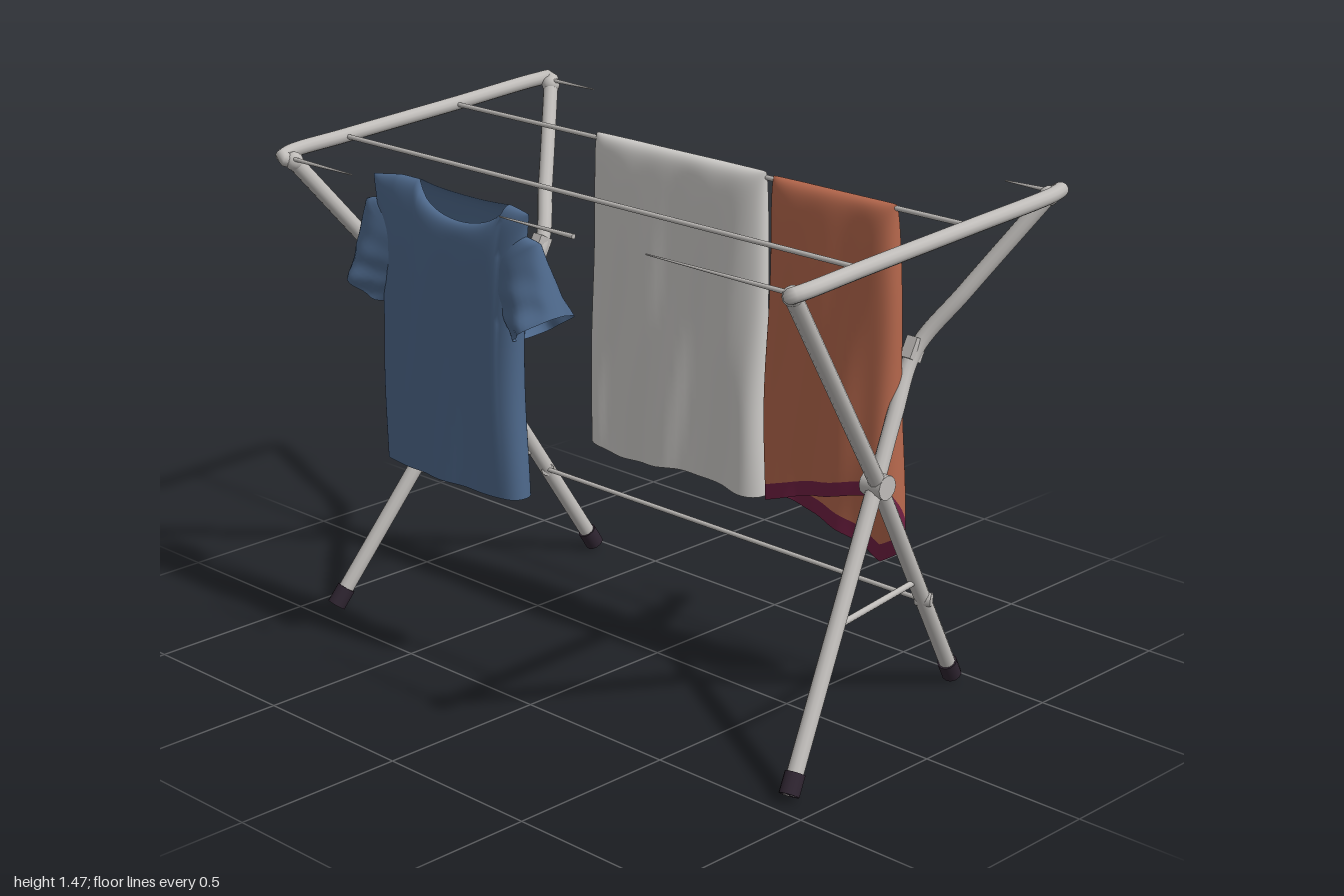
import * as THREE from 'three';
import { ParametricGeometry } from 'three/addons/geometries/ParametricGeometry.js';

const mat = (name, color, side = THREE.FrontSide) => {
  const m = new THREE.MeshStandardMaterial({ color, side });
  m.name = name;
  return m;
};
const V = (x, y, z) => new THREE.Vector3(x, y, z);
const lerp = THREE.MathUtils.lerp;

export function createModel() {
  const root = new THREE.Group();
  root.name = 'dryingRack';
  const metal = mat('paintedMetal', 0xbfbcb9, THREE.DoubleSide);
  const rubber = mat('darkRubber', 0x2e2430);
  const blue = mat('blueCotton', 0x4e698c, THREE.DoubleSide);
  const white = mat('whiteTowelling', 0xcfcdca, THREE.DoubleSide);
  const orange = mat('terracottaTowelling', 0xb5674c, THREE.DoubleSide);
  const maroon = mat('maroonTrim', 0x701f42, THREE.DoubleSide);

  const add = (name, geo, material, parent = root) => {
    const m = new THREE.Mesh(geo, material);
    m.name = name;
    parent.add(m);
    return m;
  };
  // Straight round bar between two points, optionally tapered
  const bar = (name, a, b, r0, r1, material, parent) => {
    const d = b.clone().sub(a);
    const m = add(name, new THREE.CylinderGeometry(r1, r0, d.length(), 12), material, parent);
    m.position.copy(a).addScaledVector(d, 0.5);
    m.quaternion.setFromUnitVectors(V(0, 1, 0), d.normalize());
    return m;
  };
  const pipe = (name, pts, r, parent) =>
    add(name, new THREE.TubeGeometry(new THREE.CatmullRomCurve3(pts), pts.length * 10, r, 12), metal, parent);

  // Side frames: crossed legs, top rail, pivot, brace
  for (const s of [1, -1]) {
    const side = new THREE.Group();
    side.name = s > 0 ? 'leftFrame' : 'rightFrame';
    root.add(side);
    const P = (x, y, z) => V(s * x, y, z);
    const railEnds = [P(0.945, 1.375, 0.5), P(0.945, 1.435, -0.5)];
    pipe('topRail', [railEnds[0], P(0.965, 1.385, 0.525), P(0.98, 1.393, 0.49), P(0.98, 1.406, 0.285),
      P(0.98, 1.43, -0.14), P(0.98, 1.45, -0.47), P(0.967, 1.453, -0.52), railEnds[1]], 0.021, side);
    for (const p of railEnds) {
      const k = add('railElbow', new THREE.SphereGeometry(0.027, 14, 10), metal, side);
      k.position.copy(p);
    }
    const footA = P(0.718, 0.017, -0.45), pivotA = P(0.785, 0.71, -0.03);
    const footB = P(0.905, 0.017, 0.44), pivotB = P(0.775, 0.71, -0.03);
    bar('frontLegLower', footA, pivotA, 0.023, 0.023, metal, side);
    bar('frontLegUpper', pivotA, railEnds[0], 0.023, 0.023, metal, side);
    bar('rearLegLower', footB, pivotB, 0.023, 0.023, metal, side);
    pipe('rearLegUpper', [pivotB, P(0.745, 0.87, -0.135), P(0.722, 1.02, -0.24), P(0.805, 1.18, -0.34),
      railEnds[1]], 0.022, side);
    for (const [f, p] of [[footA, pivotA], [footB, pivotB]])
      bar('footCap', f, f.clone().lerp(p, 0.07), 0.028, 0.028, rubber, side);
    bar('pivot', P(0.745, 0.71, -0.03), P(0.815, 0.71, -0.03), 0.034, 0.034, metal, side);
    const clip = add('legClip', new THREE.BoxGeometry(0.035, 0.06, 0.05), metal, side);
    clip.position.set(s * 0.722, 1.025, -0.235);
    clip.rotation.x = -0.5;
    bar('brace', P(0.835, 0.39, 0.17), P(0.755, 0.37, -0.22), 0.009, 0.009, metal, side);
    bar('rodSocket', P(0.73, 0.305, -0.265), P(0.77, 0.305, -0.285), 0.02, 0.02, metal, side);
  }

  // Full hanging rods and the lower spreader
  for (const [n, x, y, z] of [['hangingRod', 0.98, 1.406, 0.285], ['hangingRod', 0.98, 1.43, -0.14],
    ['lowerRod', 0.75, 0.305, -0.268]])
    bar(n, V(-x, y, z), V(x, y, z), 0.007, 0.007, metal);
  // Short tapered rod pieces on the outer edges
  for (const [a, b, y, z] of [[-0.97, -0.68, 1.385, 0.51], [0.2, -0.08, 1.38, 0.51], [0.96, 0.46, 1.385, 0.51],
    [-0.97, -0.76, 1.45, -0.5], [0.97, 0.8, 1.45, -0.5]])
    bar('rodPiece', V(a, y, z), V(b, y, z), 0.007, 0.002, metal);

  // Hanging cloth: a flattened sleeve, front half for u < 0.5, back half after
  const clothPoint = (o, u, v, out) => {
    const w = Math.cos(2 * Math.PI * u);
    const face = (u < 0.5 ? 1 : -1) * Math.sqrt(Math.max(0, 1 - w ** 8));
    const t = v * v;
    const x = o.mid + o.half(t) * w;
    const y = lerp(o.top(x, face), o.bottom(x, face), t);
    const ripple = o.fold * v * (Math.sin(19 * x + 3 * y + face) + 0.6 * Math.sin(41 * x - 7 * y + 2 * face));
    return out.set(x + 0.006 * v * Math.sin(9 * y + 3 * w), y, o.z(t) + o.depth(x, v) * face + ripple * Math.abs(face));
  };
  const cloth = (name, o, material, v0 = 0, v1 = 1, offset = 0) =>
    add(name, new ParametricGeometry((u, v, out) => {
      clothPoint(o, u, lerp(v0, v1, v), out);
      out.z += offset * (u < 0.5 ? 1 : -1);
    }, 96, v1 - v0 > 0.3 ? 40 : 3), material);

  // White towel over the rear rod
  cloth('whiteTowel', {
    mid: -0.05, half: t => 0.325 + 0.012 * t, fold: 0.008,
    top: () => 1.447, bottom: (x, f) => 0.53 + 0.012 * Math.sin(12 * x + f),
    z: () => -0.138, depth: (x, v) => 0.034 * Math.tanh(6 * v) + 0.022 * v,
  }, white);

  // Terracotta towel: short slanted front, long back, maroon hem
  const towel = {
    mid: 0.515, half: t => 0.215 + 0.016 * t, fold: 0.009,
    top: () => 1.44,
    bottom: (x, f) => lerp(0.5 - 0.32 * Math.min(x - 0.29, 0.34) + 0.6 * Math.max(0, x - 0.63),
      0.55 + 0.3 * (x - 0.38), (f + 1) / 2),
    z: t => -0.14 - 0.025 * t,
    depth: (x, v) => 0.03 * Math.tanh(6 * v) + 0.04 * v,
  };
  cloth('terracottaTowel', towel, orange, 0, 0.975);
  cloth('towelHem', towel, maroon, 0.975, 1);

  // Pale patch lying on the back of the terracotta towel
  add('palePatch', new ParametricGeometry((u, v, out) => {
    const width = 0.028 * Math.sin(Math.PI * v) * (1 + 0.5 * Math.sin(11 * v));
    clothPoint(towel, 0.805 + 0.03 * (v - 0.5) + (u - 0.5) * 2 * width, 0.66 + 0.15 * v, out);
    out.z -= 0.005;
  }, 6, 14), white);

  // T-shirt body with a scooped neck
  const neck = x => Math.sqrt(Math.max(0, 1 - ((x + 0.32) / 0.17) ** 2));
  cloth('shirtBody', {
    mid: -0.38, half: t => 0.272 + 0.043 * Math.exp(-6 * t), fold: 0.005,
    top: (x, f) => 1.388 - 0.15 * Math.max(0, Math.abs(x + 0.38) - 0.2) - neck(x) * (f > 0 ? 0.08 : 0.02),
    bottom: () => 0.557,
    z: t => 0.418 - 0.005 * t,
    depth: (x, v) => 0.02 * neck(x) * (1 - v) + 0.032 * Math.tanh(5 * v) + 0.023 * v,
  }, blue);

  // Flared short sleeves, mirrored about the shirt's centre
  for (const s of [1, -1])
    add(s > 0 ? 'shirtRightSleeve' : 'shirtLeftSleeve', new ParametricGeometry((u, v, out) => {
      const a = 2 * Math.PI * u;
      const r = lerp(0.125, 0.082, v) * Math.min(1, 0.55 + 2.5 * v);
      const ruffle = 1 + 0.1 * v * Math.sin(5 * a + 1) + 0.05 * v * Math.sin(18 * v + 3 * a);
      const rz = lerp(0.025, 0.09, v ** 0.8) * ruffle;
      const x = lerp(-0.61, -0.715, v) - 0.83 * r * Math.cos(a);
      out.set(s > 0 ? x : -0.76 - x, lerp(1.27, 1.055, v) + 0.55 * r * Math.cos(a),
        lerp(0.418, s > 0 ? 0.4 : 0.395, v) + rz * Math.sin(a));
    }, 40, 16), blue);

  return root;
}
